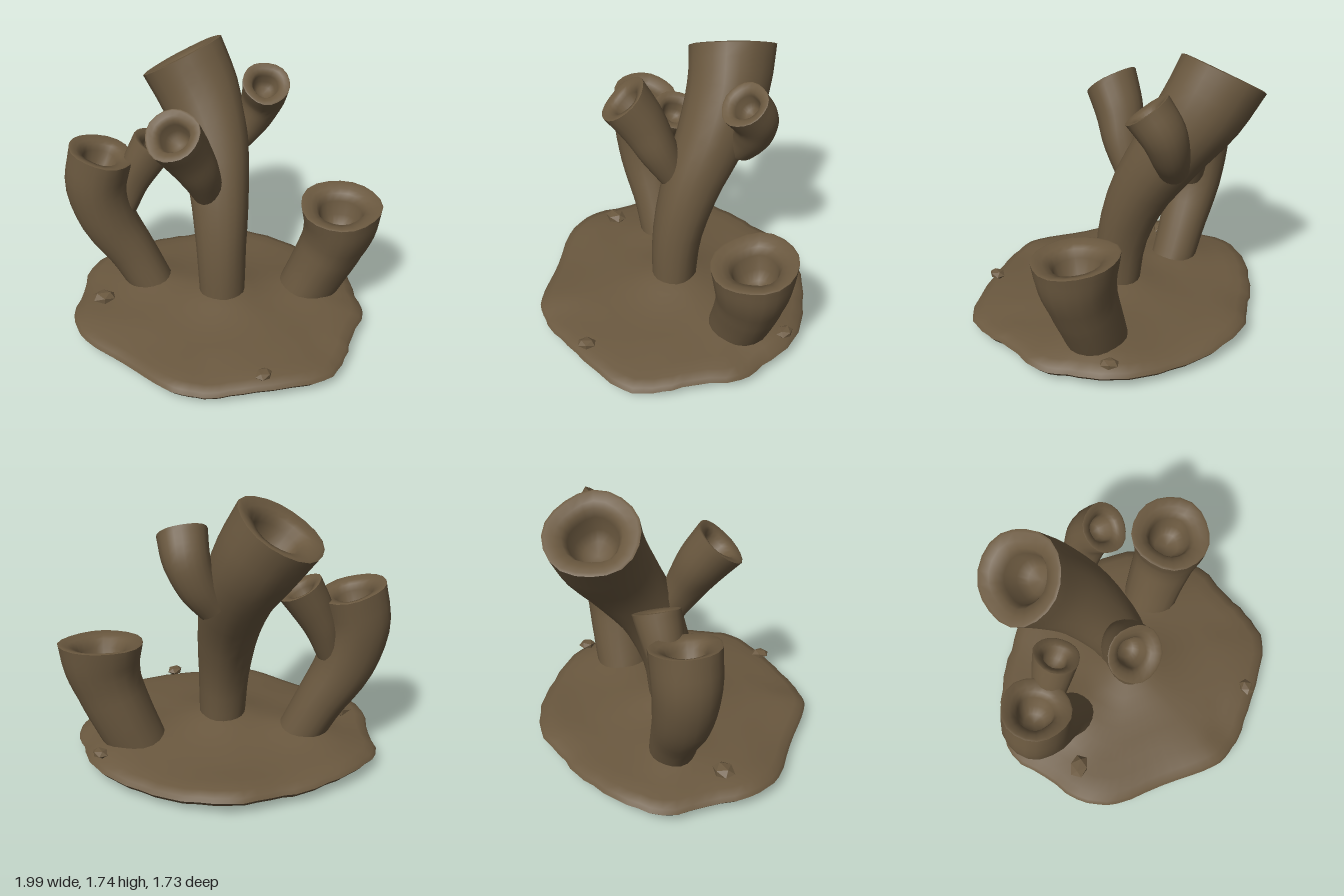
import * as THREE from 'three';
import { toCreasedNormals } from 'three/addons/utils/BufferGeometryUtils.js';

// Skin a list of closed rings (arrays of Vector3) from bottom to top
function loft(rings, crease) {
  const n = rings[0].length, index = [];
  for (let i = 0; i < rings.length - 1; i++) {
    for (let j = 0; j < n; j++) {
      const k = (j + 1) % n;
      const a = i * n + j, b = a + n, c = i * n + k, d = c + n;
      index.push(a, b, c, c, b, d);
    }
  }
  const geo = new THREE.BufferGeometry().setFromPoints(rings.flat());
  geo.setIndex(index);
  return toCreasedNormals(geo, crease);
}

// Hollow tube along [x, y, z, radius] stations, ending in a thick lip facing rimNormal
function tubeGeometry(stations, rimNormal, seed) {
  const curve = new THREE.CatmullRomCurve3(stations.map(s => new THREE.Vector3(s[0], s[1], s[2])));
  const normal = new THREE.Vector3(...rimNormal).normalize();
  const up = new THREE.Vector3(0, 1, 0);
  const steps = 14, sides = 20, rings = [];
  const ring = (center, dir, radius, wobble) => {
    const q = new THREE.Quaternion().setFromUnitVectors(up, dir);
    const points = [];
    for (let j = 0; j < sides; j++) {
      const a = j / sides * Math.PI * 2;
      const r = radius * (1 + wobble * (Math.sin(3 * a + seed) + Math.sin(5 * a + seed * 2 + center.y * 4) * 0.6));
      points.push(new THREE.Vector3(Math.cos(a) * r, 0, Math.sin(a) * r).applyQuaternion(q).add(center));
    }
    rings.push(points);
  };
  for (let i = 0; i <= steps; i++) {
    const t = i / steps;
    const f = t * (stations.length - 1), k = Math.min(Math.floor(f), stations.length - 2);
    const radius = THREE.MathUtils.lerp(stations[k][3], stations[k + 1][3], f - k);
    const dir = curve.getTangent(t).lerp(normal, t ** 4).normalize();
    ring(curve.getPoint(t), dir, radius, 0.02);
  }
  // Lip and inner cavity: [radius factor, height factor]
  const end = stations[stations.length - 1], center = new THREE.Vector3(end[0], end[1], end[2]);
  const lip = [[0.94, 0.02], [0.76, -0.05], [0.62, -0.1], [0.53, -0.28], [0.46, -0.65], [0.3, -0.85], [0, -0.9]];
  for (const [r, h] of lip) {
    ring(center.clone().addScaledVector(normal, h * end[3]), normal, r * end[3], 0.035);
  }
  return loft(rings, 0.85);
}

// Irregular rock slab with mounds under the tube feet
function baseGeometry() {
  const outline = [
    [0.92, 0], [0.83, 0.3], [0.78, 0.5], [0.66, 0.67], [0.3, 0.79], [0.05, 0.85], [-0.1, 0.86],
    [-0.26, 0.82], [-0.5, 0.63], [-0.8, 0.42], [-0.92, 0.23], [-0.92, -0.05], [-0.91, -0.36],
    [-0.75, -0.55], [-0.5, -0.71], [-0.28, -0.79], [0, -0.87], [0.3, -0.8], [0.58, -0.64], [0.8, -0.43], [0.87, -0.2],
  ];
  const curve = new THREE.CatmullRomCurve3(outline.map(p => new THREE.Vector3(p[0], 0, p[1])), true);
  const sides = 72;
  const edge = Array.from({ length: sides }, (_, j) => {
    const p = curve.getPoint(j / sides);
    return p.multiplyScalar(1 + 0.008 * Math.sin(j * 2.3) * Math.sin(j * 0.9));
  });
  const mounds = [[0.01, 0, 0.075, 0.26], [-0.47, -0.15, 0.055, 0.2], [0.55, -0.18, 0.045, 0.24]];
  // [scale, height] from underside centre, round the edge, to top centre
  const profile = [
    [0, 0], [0.6, 0.004], [0.85, 0.02], [0.97, 0.05], [1, 0.08], [0.98, 0.105], [0.92, 0.122], [0.82, 0.133],
    [0.7, 0.142], [0.58, 0.15], [0.46, 0.157], [0.35, 0.163], [0.24, 0.168], [0.14, 0.172], [0, 0.175],
  ];
  const rings = profile.map(([s, h], i) => edge.map((p, j) => {
    const x = p.x * s, z = p.z * s;
    let y = h;
    if (i > 5) for (const [mx, mz, mh, w] of mounds) y += mh * Math.exp(-((x - mx) ** 2 + (z - mz) ** 2) / (w * w));
    if (i > 2 && i < 8) y += 0.008 * Math.sin(j * 0.6) - 0.012 * p.z;
    return new THREE.Vector3(x, y, z);
  }));
  return loft(rings, 0.9);
}

export function createModel() {
  const group = new THREE.Group();
  const brown = new THREE.MeshStandardMaterial({ color: 0x6a583f });
  brown.name = 'spongeBrown';
  const add = (name, geometry) => {
    const mesh = new THREE.Mesh(geometry, brown);
    mesh.name = name;
    group.add(mesh);
    return mesh;
  };

  add('rockBase', baseGeometry());

  // Tubes: stations [x, y, z, radius] and the direction each mouth faces
  const tubes = {
    mainTube: [[[0.01, 0.15, 0, 0.14], [0, 0.5, -0.03, 0.155], [-0.02, 0.85, -0.14, 0.185],
      [-0.07, 1.15, -0.31, 0.22], [-0.17, 1.4, -0.46, 0.255], [-0.28, 1.6, -0.54, 0.27]], [-0.47, 0.85, -0.22]],
    frontBranch: [[[-0.08, 0.89, -0.06, 0.09], [-0.13, 1.1, 0.04, 0.125], [-0.2, 1.27, 0.11, 0.15],
      [-0.26, 1.42, 0.2, 0.165]], [-0.2, 0.76, 0.62]],
    backBranch: [[[0.08, 1.1, -0.42, 0.09], [0.17, 1.24, -0.44, 0.115], [0.23, 1.39, -0.42, 0.135],
      [0.25, 1.52, -0.33, 0.145]], [0.15, 0.8, 0.58]],
    rightTube: [[[-0.46, 0.13, -0.15, 0.14], [-0.58, 0.36, -0.16, 0.15], [-0.73, 0.62, -0.16, 0.18],
      [-0.79, 0.88, -0.16, 0.2], [-0.75, 1.1, -0.16, 0.205]], [0.26, 0.96, 0]],
    rightBranch: [[[-0.63, 0.7, -0.19, 0.08], [-0.57, 0.88, -0.21, 0.105], [-0.5, 1.02, -0.22, 0.125],
      [-0.43, 1.14, -0.23, 0.14]], [0.47, 0.87, 0]],
    leftTube: [[[0.54, 0.12, -0.18, 0.18], [0.62, 0.3, -0.18, 0.19], [0.7, 0.5, -0.17, 0.205],
      [0.74, 0.66, -0.16, 0.235], [0.74, 0.785, -0.16, 0.255]], [0, 0.99, 0.13]],
  };
  Object.entries(tubes).forEach(([name, [stations, normal]], i) => add(name, tubeGeometry(stations, normal, i * 1.7)));

  // Pebbles resting on the slab: x, y, z, radius, turn
  const pebbles = [[-0.75, 0.165, 0.08, 0.08, 0.3], [0.31, 0.155, 0.73, 0.06, 1.1], [0.76, 0.165, -0.39, 0.06, 2]];
  const stone = new THREE.IcosahedronGeometry(1, 0);
  for (const [x, y, z, r, turn] of pebbles) {
    const pebble = add('pebble', stone);
    pebble.position.set(x, y, z);
    pebble.scale.set(r, r * 0.45, r * 0.8);
    pebble.rotation.y = turn;
  }
  return group;
}
